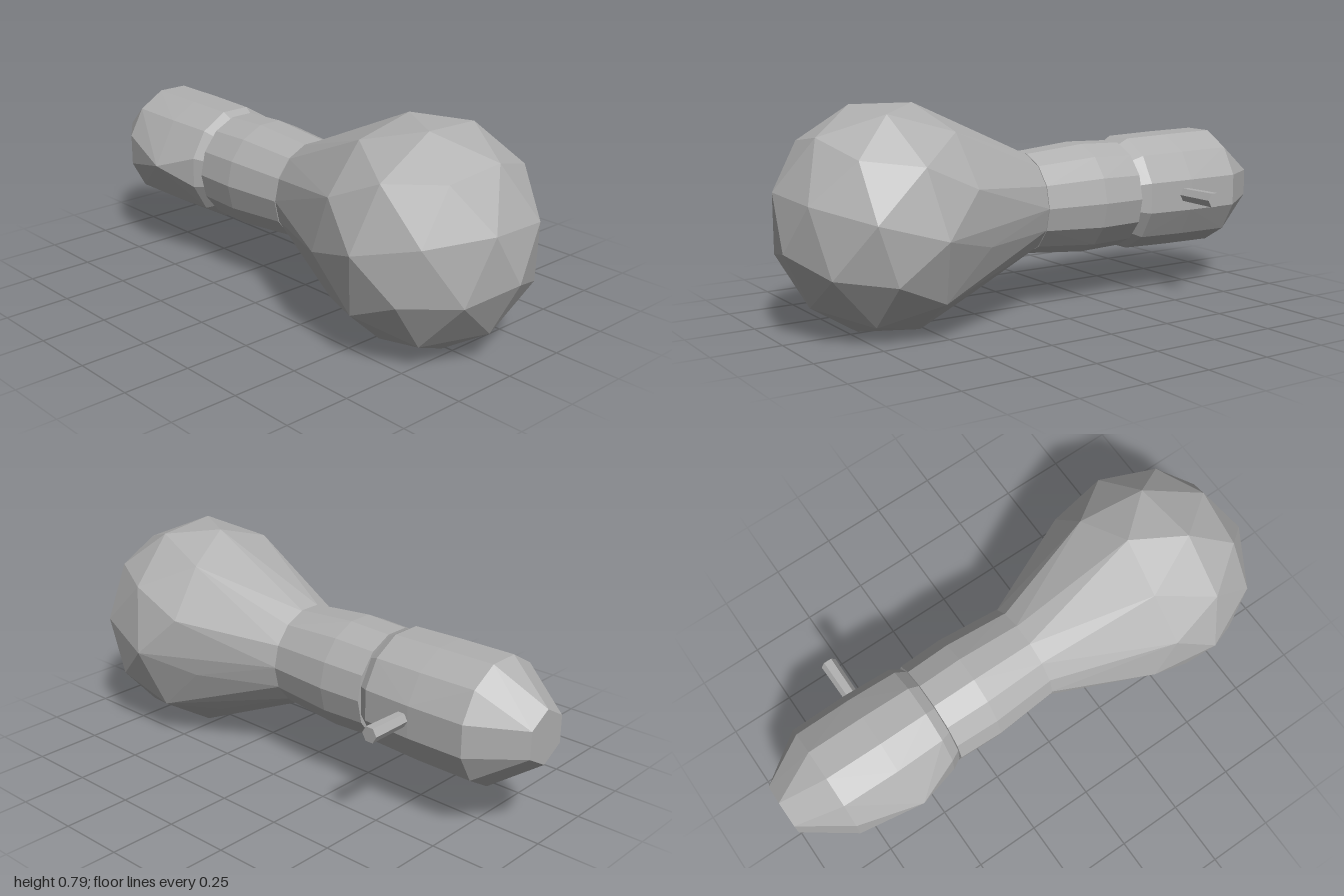
import * as THREE from 'three';
import { ConvexGeometry } from 'three/addons/geometries/ConvexGeometry.js';

const AXIS_Y = 0.397; // height of the long axis

// Points of one ring around the long axis (z)
function ring(z, radiusX, radiusY, sides, turn = 0) {
  const points = [];
  for (let i = 0; i < sides; i++) {
    const a = ((i + turn) / sides) * Math.PI * 2;
    points.push(new THREE.Vector3(Math.cos(a) * radiusX, AXIS_Y + Math.sin(a) * radiusY, z));
  }
  return points;
}

// Faceted ball fitted exactly between two corners
function ballPoints(min, max) {
  const ball = new THREE.IcosahedronGeometry(1, 1);
  const tilt = new THREE.Quaternion().setFromUnitVectors(
    new THREE.Vector3(0, 0.850651, 0.525731),
    new THREE.Vector3(0.1, 0.26, 0.96).normalize()
  );
  ball.applyQuaternion(tilt);
  ball.computeBoundingBox();
  const box = ball.boundingBox;
  const size = box.getSize(new THREE.Vector3());
  const unique = new Map();
  const pos = ball.attributes.position;
  for (let i = 0; i < pos.count; i++) {
    const p = new THREE.Vector3().fromBufferAttribute(pos, i);
    p.sub(box.min).divide(size).multiply(max.clone().sub(min)).add(min);
    unique.set(p.toArray().map((v) => v.toFixed(3)).join(), p);
  }
  return [...unique.values()];
}

export function createModel() {
  const group = new THREE.Group();
  const grey = new THREE.MeshStandardMaterial({ color: 0xb0b0b0 });
  grey.name = 'grey';

  const addHull = (name, points) => {
    const mesh = new THREE.Mesh(new ConvexGeometry(points), grey);
    mesh.name = name;
    group.add(mesh);
  };

  // Round bulb tapering back into the neck
  addHull('bulb', [
    ...ballPoints(new THREE.Vector3(-0.395, 0, 0.22), new THREE.Vector3(0.395, 0.792, 1)),
    ...ring(0.04, 0.185, 0.185, 14),
  ]);

  // Collar, slightly barrelled
  addHull('collar', [
    ...ring(0.045, 0.19, 0.19, 14),
    ...ring(-0.2, 0.21, 0.212, 14),
    ...ring(-0.37, 0.204, 0.206, 14),
  ]);

  // Socket with a domed back and a flat end
  addHull('socket', [
    ...ring(-0.372, 0.196, 0.2, 12, 0.5),
    ...ring(-0.41, 0.218, 0.222, 12, 0.5),
    ...ring(-0.6, 0.226, 0.227, 12, 0.5),
    ...ring(-0.82, 0.222, 0.23, 12, 0.5),
    ...ring(-1, 0.1, 0.1, 6, 0.5),
    new THREE.Vector3(-0.268, AXIS_Y, -0.575), // bulge opposite the switch
  ]);

  // Small switch peg on the left
  const peg = new THREE.CylinderGeometry(0.03, 0.027, 0.19, 6).toNonIndexed();
  peg.computeVertexNormals();
  const switchPeg = new THREE.Mesh(peg, grey);
  switchPeg.name = 'switchPeg';
  switchPeg.rotation.z = -Math.PI / 2;
  switchPeg.position.set(0.285, 0.4, -0.573);
  group.add(switchPeg);

  return group;
}
